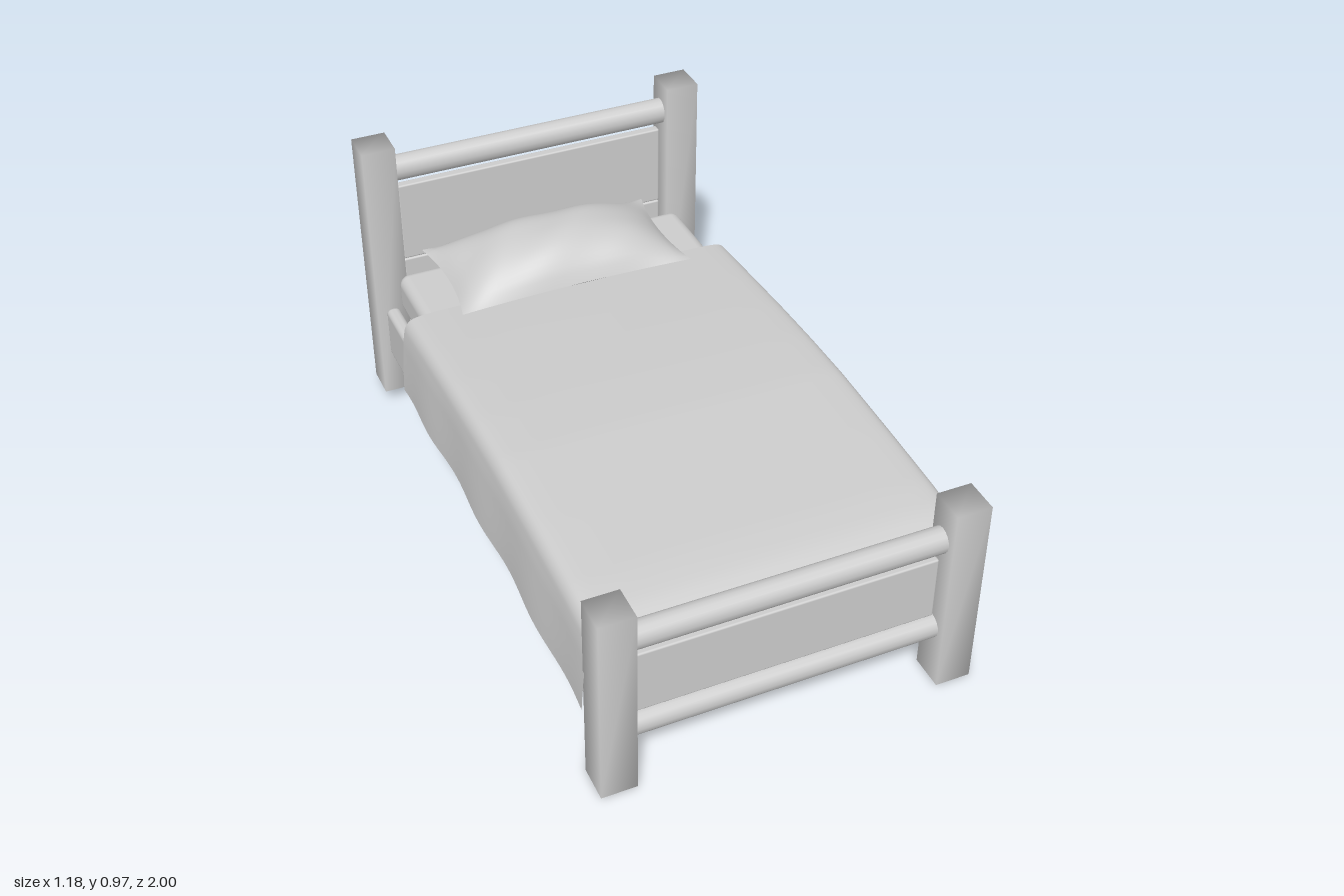
import * as THREE from 'three';
import { mergeVertices } from 'three/addons/utils/BufferGeometryUtils.js';
import { RoundedBoxGeometry } from 'three/addons/geometries/RoundedBoxGeometry.js';

// Smooth sheet from a rule: u runs along +x, v along +z
function sheet(nu, nv, rule) {
  const pos = [], idx = [];
  for (let j = 0; j <= nv; j++) {
    for (let i = 0; i <= nu; i++) pos.push(...rule(i / nu, j / nv));
  }
  for (let j = 0; j < nv; j++) {
    for (let i = 0; i < nu; i++) {
      const a = j * (nu + 1) + i, b = a + nu + 1;
      idx.push(a, b, a + 1, a + 1, b, b + 1);
    }
  }
  const g = new THREE.BufferGeometry();
  g.setAttribute('position', new THREE.Float32BufferAttribute(pos, 3));
  g.setIndex(idx);
  g.computeVertexNormals();
  return g;
}

// Box whose corners share softened normals
function softBox(w, h, d) {
  const g = new THREE.BoxGeometry(w, h, d);
  g.deleteAttribute('uv');
  g.deleteAttribute('normal');
  const m = mergeVertices(g);
  m.computeVertexNormals();
  return m;
}

// Linear lookup through [key, value] pairs with ascending keys
function lookup(table, k) {
  for (let i = 1; i < table.length; i++) {
    const [k0, v0] = table[i - 1], [k1, v1] = table[i];
    if (k <= k1) return v0 + (v1 - v0) * Math.max(0, (k - k0) / (k1 - k0));
  }
  return table[table.length - 1][1];
}

export function createModel() {
  const group = new THREE.Group();
  group.name = 'bed';
  const grey = new THREE.MeshStandardMaterial({ color: 0xcccccc, side: THREE.DoubleSide });
  grey.name = 'plain grey';

  const add = (name, geometry, x = 0, y = 0, z = 0) => {
    const m = new THREE.Mesh(geometry, grey);
    m.name = name;
    m.position.set(x, y, z);
    group.add(m);
    return m;
  };

  // Corner posts and side rails
  for (const s of [-1, 1]) {
    const side = s > 0 ? 'left' : 'right';
    add(side + 'FootPost', softBox(0.108, 0.635, 0.11), s * 0.519, 0.3175, 0.945);
    add(side + 'HeadPost', softBox(0.108, 0.92, 0.11), s * 0.519, 0.51, -0.945);
    add(side + 'SideRail', new RoundedBoxGeometry(0.045, 0.18, 1.8, 3, 0.018), s * 0.52, 0.29, 0);
  }

  // Round cross rails: name, bottom, top, z
  for (const [name, y0, y1, z] of [
    ['footTopRail', 0.468, 0.55, 0.938],
    ['footLowerRail', 0.15, 0.228, 0.938],
    ['headTopRail', 0.825, 0.91, -0.948],
    ['headLowerRail', 0.243, 0.322, -0.948],
  ]) {
    const rail = add(name, new THREE.CylinderGeometry(0.5, 0.5, 0.95, 16), 0, (y0 + y1) / 2, z);
    rail.rotation.z = Math.PI / 2;
    rail.scale.set(y1 - y0, 1, 0.076);
  }

  // Flat boards between the rails: name, bottom, top, z
  for (const [name, y0, y1, z] of [
    ['footPanel', 0.24, 0.45, 0.94],
    ['headLowerPanel', 0.33, 0.528, -0.948],
    ['headUpperPanel', 0.53, 0.805, -0.948],
  ]) {
    add(name, new RoundedBoxGeometry(0.912, y1 - y0, 0.03, 2, 0.006), 0, (y0 + y1) / 2, z);
  }

  // Mattress
  add('mattress', new RoundedBoxGeometry(0.995, 0.135, 1.765, 4, 0.035), 0, 0.4475, -0.0025);

  // Blanket: half section as [x, height share], crown and hem heights along z
  const half = [[0.583, 0], [0.58, 0.2], [0.573, 0.5], [0.565, 0.75], [0.553, 0.9], [0.53, 0.965], [0.49, 0.985], [0.3, 0.995]];
  const section = new THREE.CatmullRomCurve3([
    ...half.map(([x, h]) => new THREE.Vector3(-x, h, 0)),
    new THREE.Vector3(0, 1, 0),
    ...half.slice().reverse().map(([x, h]) => new THREE.Vector3(x, h, 0)),
  ]);
  const across = section.getPoints(64);
  const crown = [[-0.62, 0.525], [-0.4, 0.542], [-0.2, 0.556], [0, 0.566], [0.2, 0.57], [0.5, 0.56], [0.75, 0.548], [0.85, 0.535], [0.9, 0.515]];
  const hem = [[-0.62, 0.25], [-0.45, 0.26], [-0.2, 0.275], [0.3, 0.275], [0.6, 0.265], [0.9, 0.25]];
  const drape = (u, z) => {
    const p = across[Math.round(u * 64)];
    const low = lookup(hem, z);
    // Gentle folds that fade out towards the top
    const fold = 0.005 * Math.sin(z * 14) * Math.max(0, 1 - p.y * 1.3) * Math.sign(p.x);
    return [p.x + fold, low + (lookup(crown, z) - low) * p.y, z];
  };
  add('blanket', sheet(64, 48, (u, v) => drape(u, -0.62 + 1.52 * v)));
  add('blanketFootDrop', sheet(64, 4, (u, v) => {
    const [x, y, z] = drape(u, 0.9);
    return [x, y + (Math.min(y, 0.38) - y) * v, z];
  }));

  // Pillow: two puffed halves joined at a seam with drawn-out corners
  const puff = (t) => Math.pow(Math.max(0, 1 - Math.pow(Math.abs(t), 2.6)), 0.85);
  const pillowHalf = (flip, height) => sheet(36, 24, (u, v) => {
    const a = (u * 2 - 1) * flip, b = v * 2 - 1;
    const x = -0.01 + 0.39 * a * (1 - 0.06 * (1 - b * b));
    const z = -0.71 + 0.2 * b * (1 - 0.07 * (1 - a * a));
    const crease = 0.004 * Math.sin(a * 9 + b * 4) * puff(a) * puff(b);
    return [x, 0.565 + height * puff(a) * puff(b) + crease, z];
  });
  add('pillowTop', pillowHalf(1, 0.124));
  add('pillowUnderside', pillowHalf(-1, -0.045));

  return group;
}
